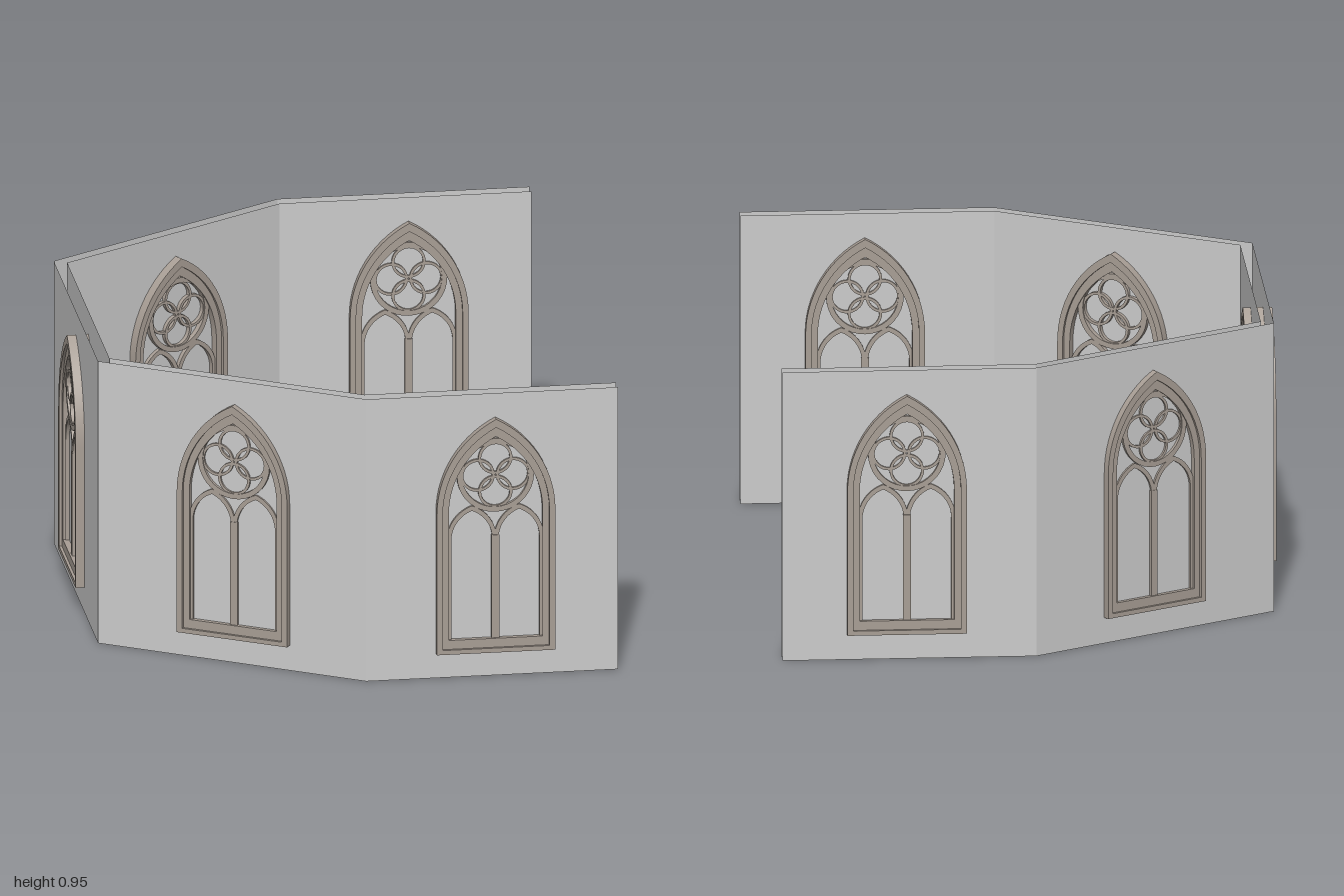
import * as THREE from 'three';
import { toCreasedNormals } from 'three/addons/utils/BufferGeometryUtils.js';

const wallMat = new THREE.MeshStandardMaterial({ color: 0xcccccc, side: THREE.DoubleSide });
wallMat.name = 'plaster';
const stoneMat = new THREE.MeshStandardMaterial({ color: 0xa89e95 });
stoneMat.name = 'carvedStone';

// Closed outline of a pointed arch with straight jambs
function archPoints(cx, half, bottom, spring, apex, n = 14) {
  const h = apex - spring;
  const r = (h * h + half * half) / (2 * half);
  const end = Math.asin(h / r);
  const right = [];
  for (let i = 0; i <= n; i++) {
    const a = (end * i) / n;
    right.push(new THREE.Vector2(half - r + r * Math.cos(a), spring + r * Math.sin(a)));
  }
  const left = right.slice(0, -1).reverse().map((p) => new THREE.Vector2(-p.x, p.y));
  const pts = [new THREE.Vector2(-half, bottom), new THREE.Vector2(half, bottom), ...right, ...left];
  return pts.map((p) => new THREE.Vector2(p.x + cx, p.y));
}

function stonePiece(name, outer, inner, depth) {
  const shape = new THREE.Shape(outer);
  if (inner) shape.holes.push(new THREE.Path(inner));
  const geo = new THREE.ExtrudeGeometry(shape, { depth, bevelEnabled: false });
  geo.translate(0, 0, -depth / 2);
  const mesh = new THREE.Mesh(toCreasedNormals(geo, 0.5), stoneMat);
  mesh.name = name;
  return mesh;
}

function circlePoints(x, y, r, n = 36) {
  return Array.from({ length: n }, (_, i) => {
    const a = (i / n) * Math.PI * 2;
    return new THREE.Vector2(x + r * Math.cos(a), y + r * Math.sin(a));
  });
}

const ring = (name, x, y, r, width, depth) =>
  stonePiece(name, circlePoints(x, y, r), circlePoints(x, y, r - width), depth);

function createWindow() {
  const g = new THREE.Group();
  g.name = 'traceryWindow';
  // Stepped surround
  g.add(stonePiece('outerFrame', archPoints(0, 0.191, 0.085, 0.56, 0.873),
    archPoints(0, 0.172, 0.1, 0.56, 0.845), 0.094));
  g.add(stonePiece('innerFrame', archPoints(0, 0.173, 0.099, 0.56, 0.847),
    archPoints(0, 0.151, 0.13, 0.56, 0.812), 0.076));
  // Paired lancets either side of the mullion
  for (const s of [-1, 1]) {
    g.add(stonePiece('lancet', archPoints(s * 0.076, 0.08, 0.12, 0.465, 0.578),
      archPoints(s * 0.076, 0.066, 0.13, 0.465, 0.562), 0.06));
  }
  const mullion = new THREE.Mesh(new THREE.BoxGeometry(0.025, 0.355, 0.064), stoneMat);
  mullion.name = 'mullion';
  mullion.position.y = 0.3;
  g.add(mullion);
  // Rose with four interlaced rings
  g.add(ring('roseRing', 0, 0.68, 0.124, 0.017, 0.066));
  for (let i = 0; i < 4; i++) {
    const a = (i * Math.PI) / 2;
    g.add(ring('roseFoil', 0.057 * Math.cos(a), 0.68 + 0.057 * Math.sin(a), 0.055, 0.009, 0.058 + i * 0.0006));
  }
  return g;
}

// Open vertical sheets following a plan line
function createWall(name, plan, height) {
  const g = new THREE.Group();
  g.name = name;
  for (let i = 0; i < plan.length - 1; i++) {
    const [x0, z0] = plan[i], [x1, z1] = plan[i + 1];
    const geo = new THREE.PlaneGeometry(Math.hypot(x1 - x0, z1 - z0), height);
    const panel = new THREE.Mesh(geo, wallMat);
    panel.name = 'wallPanel';
    panel.position.set((x0 + x1) / 2, height / 2, (z0 + z1) / 2);
    panel.rotation.y = Math.atan2(z1 - z0, x0 - x1);
    g.add(panel);
  }
  return g;
}

export function createModel() {
  const model = new THREE.Group();
  model.name = 'chapelWalls';

  // Wall faces, front end round to back end
  const mirrored = (half) => [...half, ...half.slice().reverse().map(([x, z]) => [x, -z])];
  model.add(createWall('outerWall', mirrored([[0.815, 0.975], [0.003, 0.975], [-0.79, 0.487]]), 0.953));
  model.add(createWall('innerWall', mirrored([[0.815, 0.93], [0.003, 0.93], [-0.75, 0.465]]), 0.953));

  // One window per wall bay: x, z, turn
  const bays = [
    [0.418, 0.953, 0],
    [-0.374, 0.716, -0.545],
    [-0.772, 0, -Math.PI / 2],
    [-0.374, -0.716, Math.PI + 0.545],
    [0.418, -0.953, Math.PI],
  ];
  for (const [x, z, turn] of bays) {
    const w = createWindow();
    w.position.set(x, 0, z);
    w.rotation.y = turn;
    model.add(w);
  }
  return model;
}
